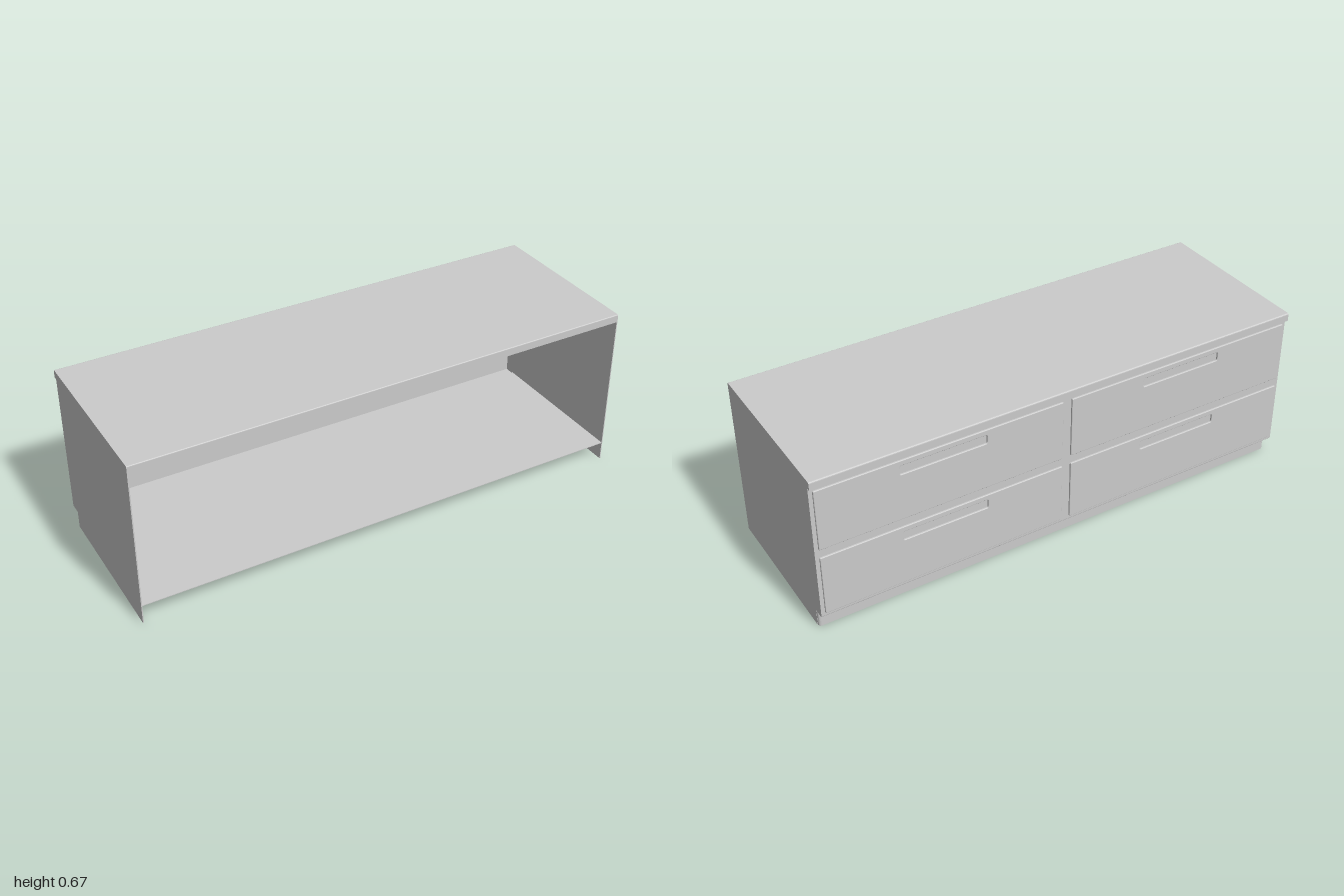
import * as THREE from 'three';

const material = new THREE.MeshStandardMaterial({ color: 0xcccccc });

// Rectangle with rounded corners, usable as outline or hole.
function roundedRect(path, x0, y0, x1, y1, r) {
  path.moveTo(x0 + r, y0);
  path.lineTo(x1 - r, y0);
  path.quadraticCurveTo(x1, y0, x1, y0 + r);
  path.lineTo(x1, y1 - r);
  path.quadraticCurveTo(x1, y1, x1 - r, y1);
  path.lineTo(x0 + r, y1);
  path.quadraticCurveTo(x0, y1, x0, y1 - r);
  path.lineTo(x0, y0 + r);
  path.quadraticCurveTo(x0, y0, x0 + r, y0);
  return path;
}

// Extrudes a profile drawn in (z, y) along x, centred on xCentre.
function alongX(shape, width, xCentre = 0) {
  const g = new THREE.ExtrudeGeometry(shape, { depth: width, bevelEnabled: false, curveSegments: 5 });
  g.rotateY(-Math.PI / 2);
  g.translate(xCentre + width / 2, 0, 0);
  return g;
}

export function createModel() {
  const group = new THREE.Group();
  const add = (name, geometry) => {
    const mesh = new THREE.Mesh(geometry, material);
    mesh.name = name;
    group.add(mesh);
    return mesh;
  };

  const H = 0.667, topY = 0.635, depth = 0.34, face = -0.325, wall = 0.004;

  // Worktop with an overhanging lip and softened upper edges
  const top = new THREE.Shape();
  top.moveTo(-depth, topY);
  top.lineTo(depth, topY);
  top.lineTo(depth, H - 0.004);
  top.quadraticCurveTo(depth, H, depth - 0.004, H);
  top.lineTo(-depth + 0.006, H);
  top.quadraticCurveTo(-depth, H, -depth, H - 0.006);
  top.closePath();
  add('worktop', alongX(top, 2));

  // Thin side panels, notched for the toe space
  const side = new THREE.Shape();
  side.moveTo(depth, 0);
  side.lineTo(depth, topY);
  side.lineTo(face, topY);
  side.lineTo(face, 0.076);
  side.quadraticCurveTo(face, 0.07, face + 0.006, 0.07);
  side.lineTo(-0.279, 0.07);
  side.lineTo(-0.279, 0);
  side.closePath();
  for (const s of [-1, 1]) {
    add(s > 0 ? 'leftSide' : 'rightSide', alongX(side, wall, s * (1 - wall / 2)));
  }

  // Drawer wall, turned inward along the bottom
  const front = new THREE.Shape();
  front.moveTo(face, topY);
  front.lineTo(face, 0.076);
  front.quadraticCurveTo(face, 0.07, face + 0.006, 0.07);
  front.lineTo(-0.279, 0.07);
  front.lineTo(-0.279, 0.073);
  front.lineTo(-0.319, 0.073);
  front.lineTo(-0.319, topY);
  front.closePath();
  add('drawerWall', alongX(front, 2 - 2 * wall));

  // Raised floor, open towards the front
  const floor = new THREE.BoxGeometry(2 - 2 * wall, 0.003, depth + 0.278);
  floor.translate(0, 0.0765, (depth - 0.278) / 2);
  add('floor', floor);

  // Recessed plinth with rounded vertical corners
  const plan = new THREE.Shape();
  plan.moveTo(-0.999, 0.278);
  plan.lineTo(0.999, 0.278);
  plan.quadraticCurveTo(0.999, 0.291, 0.986, 0.291);
  plan.lineTo(-0.986, 0.291);
  plan.quadraticCurveTo(-0.999, 0.291, -0.999, 0.278);
  const plinth = new THREE.ExtrudeGeometry(plan, { depth: 0.071, bevelEnabled: false, curveSegments: 6 });
  plinth.rotateX(-Math.PI / 2);
  add('plinth', plinth);

  // Four drawer fronts, each with a recessed finger slot
  const w = 0.967, h = 0.248;
  const outline = roundedRect(new THREE.Shape(), -w / 2, 0, w / 2, h, 0.004);
  outline.holes.push(roundedRect(new THREE.Path(), -0.17, h - 0.058, 0.17, h - 0.022, 0.008));
  const drawer = new THREE.ExtrudeGeometry(outline, {
    depth: 0.004, bevelThickness: 0.003, bevelSize: 0.003, bevelOffset: -0.003, bevelSegments: 3, curveSegments: 4,
  });
  drawer.translate(0, 0, -0.329);
  for (const [row, y] of [['lower', 0.088], ['upper', 0.371]]) {
    for (const s of [-1, 1]) {
      const mesh = add(`${row}${s > 0 ? 'Left' : 'Right'}Drawer`, drawer);
      mesh.position.set(s * (0.018 + w / 2), y, 0);
    }
  }
  return group;
}
